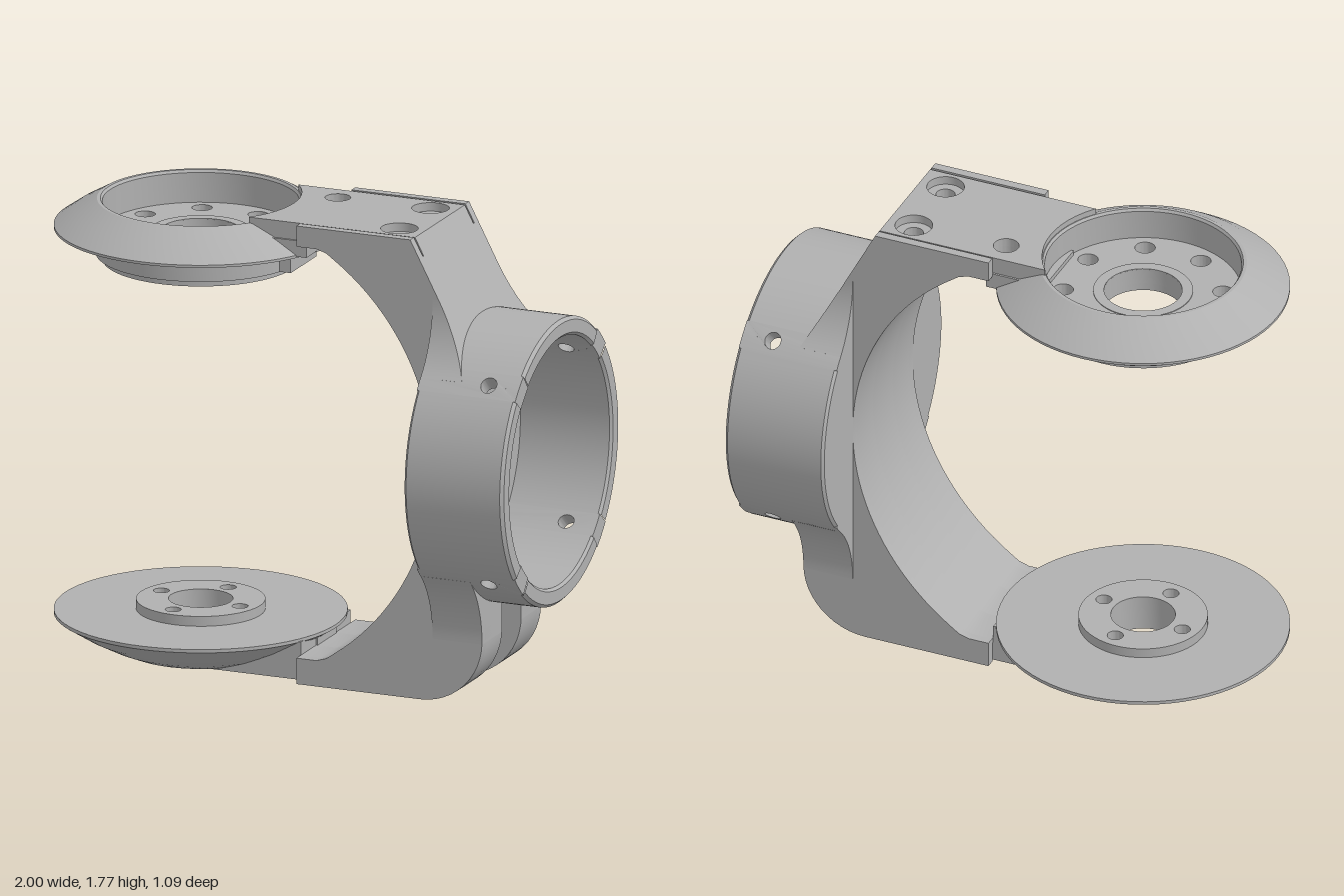
import * as THREE from 'three';
import { toCreasedNormals } from 'three/addons/utils/BufferGeometryUtils.js';

const grey = new THREE.MeshStandardMaterial({ color: 0xb0b0b0 });
grey.name = 'grey plastic';
const CY = 0.895;          // height of the motor ring axis
const DX = -0.455;         // x of both disc centres
const V = (x, y) => new THREE.Vector2(x, y);
const slope = (y) => 0.52 + (1.75 - y) * 0.524;   // slanted back of the upper arm

export function createModel() {
  const model = new THREE.Group();
  model.name = 'yokeBracket';

  const add = (name, geo, crease = 0.5) => {
    const mesh = new THREE.Mesh(toCreasedNormals(geo, crease), grey);
    mesh.name = name;
    model.add(mesh);
    return mesh;
  };
  const box = (name, x0, x1, y0, y1, z0, z1) => add(name,
    new THREE.BoxGeometry(x1 - x0, y1 - y0, z1 - z0).translate((x0 + x1) / 2, (y0 + y1) / 2, (z0 + z1) / 2));
  const extrude = (shape, depth) =>
    new THREE.ExtrudeGeometry(shape, { depth, bevelEnabled: false, curveSegments: 20 });
  const circle = (x, y, r) => new THREE.Path().absarc(x, y, r, 0, Math.PI * 2, false);
  // flat plate drawn in x,z with round holes [x, z, r]
  const plate = (points, holes, y0, y1) => {
    const shape = new THREE.Shape(points);
    holes.forEach((h) => shape.holes.push(circle(...h)));
    return extrude(shape, y1 - y0).rotateX(Math.PI / 2).translate(0, y1, 0);
  };
  const disc = (x, z, r, holes, y0, y1) =>
    plate(circle(x, z, r).getPoints(32).slice(0, -1), holes, y0, y1);
  const lathe = (name, pts) => add(name,
    new THREE.LatheGeometry([...pts, pts[0]].map((p) => V(...p)), 72).translate(DX, 0, 0));

  // ---- Curved arm: side profile cut into slabs across z ----
  const arm = (name, z0, z1, top, X, bottom, recess) => {
    const p = [V(0.05, top), V(slope(top), top), V(slope(1.455), 1.455), V(0.62, 1.455), V(0.62, 0.335), V(X, 0.335)];
    const r = 0.25;
    for (let i = 0; i <= 12; i++) {
      const a = (i / 12) * Math.PI / 2;
      p.push(V(X - r + r * Math.cos(a), bottom + r - r * Math.sin(a)));
    }
    if (recess) p.push(V(X - r, 0.08));
    p.push(V(0.05, recess ? 0.08 : bottom), V(0.05, 0.1), V(0.13, 0.1), V(0.17, 0.112));
    for (let i = 0; i <= 40; i++) {
      const a = -0.964 + (i / 40) * 1.928;
      p.push(V(-0.325 + 0.925 * Math.cos(a), CY + 0.925 * Math.sin(a)));
    }
    p.push(V(0.17, 1.678), V(0.13, 1.69), V(0.05, 1.69));
    add(name, extrude(new THREE.Shape(p), z1 - z0).translate(0, 0, z0));
  };
  arm('armMiddle', -0.09, 0.09, 1.7, 0.72, 0.06, false);
  for (const s of [-1, 1]) {
    const side = s > 0 ? 'Front' : 'Back';
    const span = (a, b) => (s > 0 ? [a, b] : [-b, -a]);
    arm('armCore' + side, ...span(0.09, 0.24), 1.7, 0.8, 0, true);
    arm('armCheek' + side, ...span(0.24, 0.275), 1.77, 0.8, 0, false);

    // flares blending the arm into the ring
    for (const up of [1, -1]) {
      const z0 = up > 0 ? 0 : 0.09;
      const p = [V(s * z0, CY + up * 0.655)];
      for (let i = 0; i <= 14; i++) {
        const d = 0.655 - (i / 14) * 0.271;
        p.push(V(s * (0.659 - Math.sqrt(0.384 ** 2 - (0.655 - d) ** 2)), CY + up * d));
      }
      const a1 = Math.asin(z0 / 0.5);
      for (let i = 0; i <= 10; i++) {
        const a = Math.PI / 4 + (a1 - Math.PI / 4) * (i / 10);
        p.push(V(s * 0.5 * Math.sin(a), CY + up * 0.5 * Math.cos(a)));
      }
      const geo = extrude(new THREE.Shape(p), 1);
      const pos = geo.attributes.position;
      for (let i = 0; i < pos.count; i++) {
        const y = pos.getY(i);
        const outer = up > 0 ? slope(y) : 0.8;
        pos.setXYZ(i, 0.6 + pos.getZ(i) * (outer - 0.6), y, -pos.getX(i));
      }
      add((up > 0 ? 'upperFlare' : 'lowerFlare') + side, geo);
    }
  }
  box('channelBack', 0.6, 0.72, 0.3, 0.42, -0.09, 0.09);

  // ---- Motor ring: wall in four arcs, joined by panels with a screw hole ----
  const gap = 0.1;
  const wall = [[0.475, 0.6], [0.535, 0.6], [0.545, 0.61], [0.545, 0.988], [0.533, 1], [0.485, 1], [0.475, 0.99], [0.475, 0.6]];
  for (let k = 0; k < 4; k++) {
    const mid = Math.PI / 4 + k * Math.PI / 2;
    add('ringWall', new THREE.LatheGeometry(wall.map((q) => V(...q)), 24, mid + gap, Math.PI / 2 - 2 * gap)
      .rotateZ(-Math.PI / 2).translate(0, CY, 0));
    const shape = new THREE.Shape();
    for (let i = 0; i <= 6; i++) shape.lineTo(mid - gap + gap * i / 3, 0.6);
    for (let i = 6; i >= 0; i--) shape.lineTo(mid - gap + gap * i / 3, 0.997);
    shape.curves.shift();
    shape.holes.push(new THREE.Path().absellipse(mid, 0.875, 0.06, 0.031, 0, Math.PI * 2, false, 0));
    const geo = extrude(shape, 0.07);
    const pos = geo.attributes.position;
    for (let i = 0; i < pos.count; i++) {
      const a = pos.getX(i), r = 0.475 + pos.getZ(i);
      pos.setXYZ(i, pos.getY(i), CY - r * Math.sin(a), r * Math.cos(a));
    }
    add('ringScrewPanel', geo);
  }
  add('ringFloor', new THREE.CylinderGeometry(0.48, 0.48, 0.03, 64).rotateZ(Math.PI / 2).translate(0.615, CY, 0));

  // ---- Upper disc with a sunken, drilled floor ----
  lathe('upperDisc', [[0.35, 1.51], [0.365, 1.51], [0.365, 1.535], [0.39, 1.535], [0.39, 1.635], [0.545, 1.635],
    [0.545, 1.645], [0.47, 1.697], [0.385, 1.745], [0.372, 1.745], [0.365, 1.735], [0.365, 1.6], [0.335, 1.58], [0.335, 1.52]]);
  const bolts = [];
  for (let k = 0; k < 8; k++) {
    const a = Math.PI / 8 + k * Math.PI / 4;
    bolts.push([DX + 0.296 * Math.cos(a), 0.296 * Math.sin(a), 0.038]);
  }
  add('upperDiscFloor', disc(DX, 0, 0.37, [[DX, 0, 0.145], ...bolts], 1.56, 1.62));
  bolts.forEach((b) => add('boltLug', disc(b[0], b[1], 0.058, [b], 1.525, 1.57)));
  lathe('upperCollar', [[0.145, 1.53], [0.185, 1.53], [0.185, 1.623], [0.145, 1.623]]);
  box('upperDiscStop', -0.12, -0.04, 1.535, 1.638, -0.12, 0.12);

  // ---- Tongues that lock the discs into the arm, starting on an arc round the disc ----
  const tongue = (z0, z1, r, x1) => {
    const p = [];
    for (let i = 0; i <= 12; i++) {
      const z = z0 + (z1 - z0) * (i / 12);
      p.push(V(DX + Math.sqrt(r * r - z * z), z));
    }
    p.push(V(x1, z1), V(x1, z0));
    return p;
  };
  const slant = (geo) => {          // lean the far end with the arm's back
    const pos = geo.attributes.position;
    for (let i = 0; i < pos.count; i++) if (pos.getX(i) > 0.5) pos.setX(i, slope(pos.getY(i)));
    return geo;
  };
  const screws = (r) => [[0.41, 0.145, r], [0.41, -0.145, r], [0.04, -0.135, 0.048]];
  const top = tongue(-0.232, 0.232, 0.375, 0.52);
  add('upperTongueTop', slant(plate(top, screws(0.07), 1.735, 1.768)));
  add('upperTongueBase', slant(plate(top, screws(0.036), 1.7, 1.735)));
  add('upperTongueFoot', plate(tongue(-0.24, 0.24, 0.375, 0.075), [], 1.64, 1.702));

  // ---- Lower disc: shallow bowl with a drilled boss ----
  lathe('lowerDisc', [[0.235, 0.03], [0.255, 0.01], [0.29, 0.01], [0.36, 0.04], [0.45, 0.087], [0.545, 0.147],
    [0.545, 0.16], [0.235, 0.16]]);
  const four = [0, 1, 2, 3].map((k) =>
    [DX + 0.178 * Math.cos(k * Math.PI / 2 + 0.2), 0.178 * Math.sin(k * Math.PI / 2 + 0.2), 0.03]);
  add('lowerBoss', disc(DX, 0, 0.24, [[DX, 0, 0.12], ...four], 0.06, 0.198));

  for (const s of [-1, 1]) {
    const [z0, z1] = s > 0 ? [0.09, 0.232] : [-0.232, -0.09];
    const rail = tongue(z0, z1, 0.27, 0.545);
    const holes = (r) => [[0.41, s * 0.16, r], [0.17, s * 0.16, 0.025], [-0.08, s * 0.16, 0.025]];
    add('lowerRailFace', plate(rail, holes(0.06), 0.004, 0.04));
    add('lowerRailBase', plate(rail, holes(0.03), 0.04, 0.08));
    add('lowerRailFoot', plate(tongue(z0, z1, 0.4, 0.05), [], 0.078, 0.15));
  }
  box('lowerChannelFloor', -0.15, 0.055, 0.06, 0.15, -0.09, 0.09);

  return model;
}
